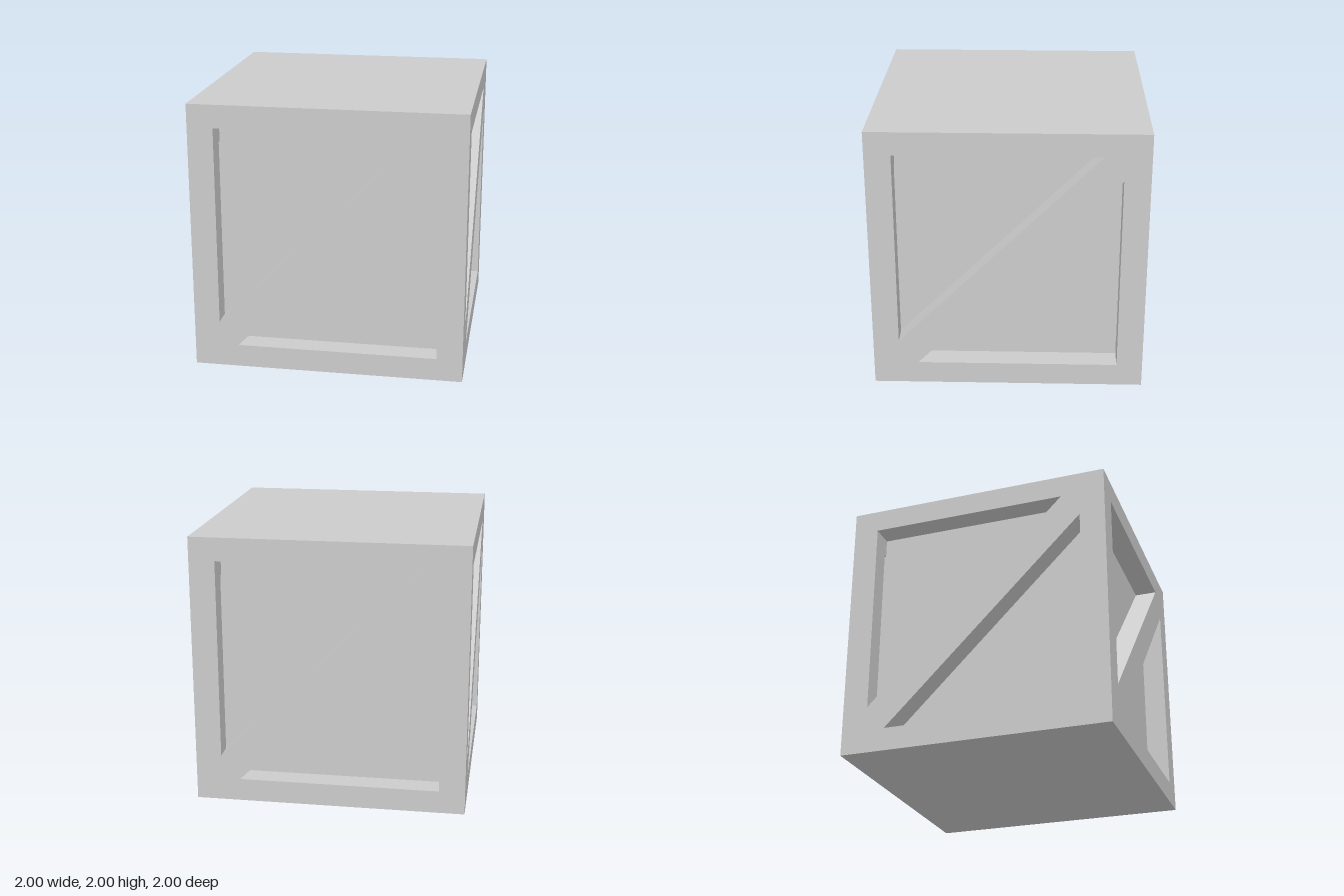
import * as THREE from 'three';

const HALF = 1, INNER = 0.83, GROOVE_Z = 0.855;

// Triangular openings either side of the diagonal brace (y relative to the middle)
const opening = [[-0.81, 0.83], [0.67, 0.83], [-0.81, -0.65]];
// The same opening with a shallow groove cut into the post beside the panel
const groovedOpening = [...opening, [-0.825, -0.65], [-0.825, 0.69], [-0.81, 0.69]];

const toPath = (points, sign) =>
  new THREE.Path(points.map(([x, y]) => new THREE.Vector2(sign * x, sign * y)));

// One layer of a side frame: outer board with two opposed openings
function frameLayer(points, zBack, zFront) {
  const shape = new THREE.Shape([
    new THREE.Vector2(-HALF, -HALF), new THREE.Vector2(INNER, -HALF),
    new THREE.Vector2(INNER, HALF), new THREE.Vector2(-HALF, HALF),
  ]);
  shape.holes.push(toPath(points, 1), toPath(points, -1));
  const geometry = new THREE.ExtrudeGeometry(shape, { depth: zFront - zBack, bevelEnabled: false });
  return geometry.translate(0, HALF, zBack);
}

export function createModel() {
  const crate = new THREE.Group();
  crate.name = 'crate';
  const material = new THREE.MeshStandardMaterial({ color: 0xcccccc, flatShading: true });

  const add = (parent, geometry, name) => {
    const mesh = new THREE.Mesh(geometry, material);
    mesh.name = name;
    parent.add(mesh);
  };

  // Solid core gives the recessed panels and the middle of the lid and base
  add(crate, new THREE.BoxGeometry(2 * INNER, 2, 2 * INNER).translate(0, HALF, 0), 'corePanels');

  // Four braced frames, each butting against the next around the crate
  const front = frameLayer(opening, GROOVE_Z, HALF);
  const back = frameLayer(groovedOpening, INNER, GROOVE_Z);
  ['front', 'left', 'back', 'right'].forEach((side, i) => {
    const frame = new THREE.Group();
    frame.name = side + 'Frame';
    add(frame, front, 'bracedFrame');
    add(frame, back, 'groovedBacking');
    frame.rotation.y = i * Math.PI / 2;
    crate.add(frame);
  });

  return crate;
}
